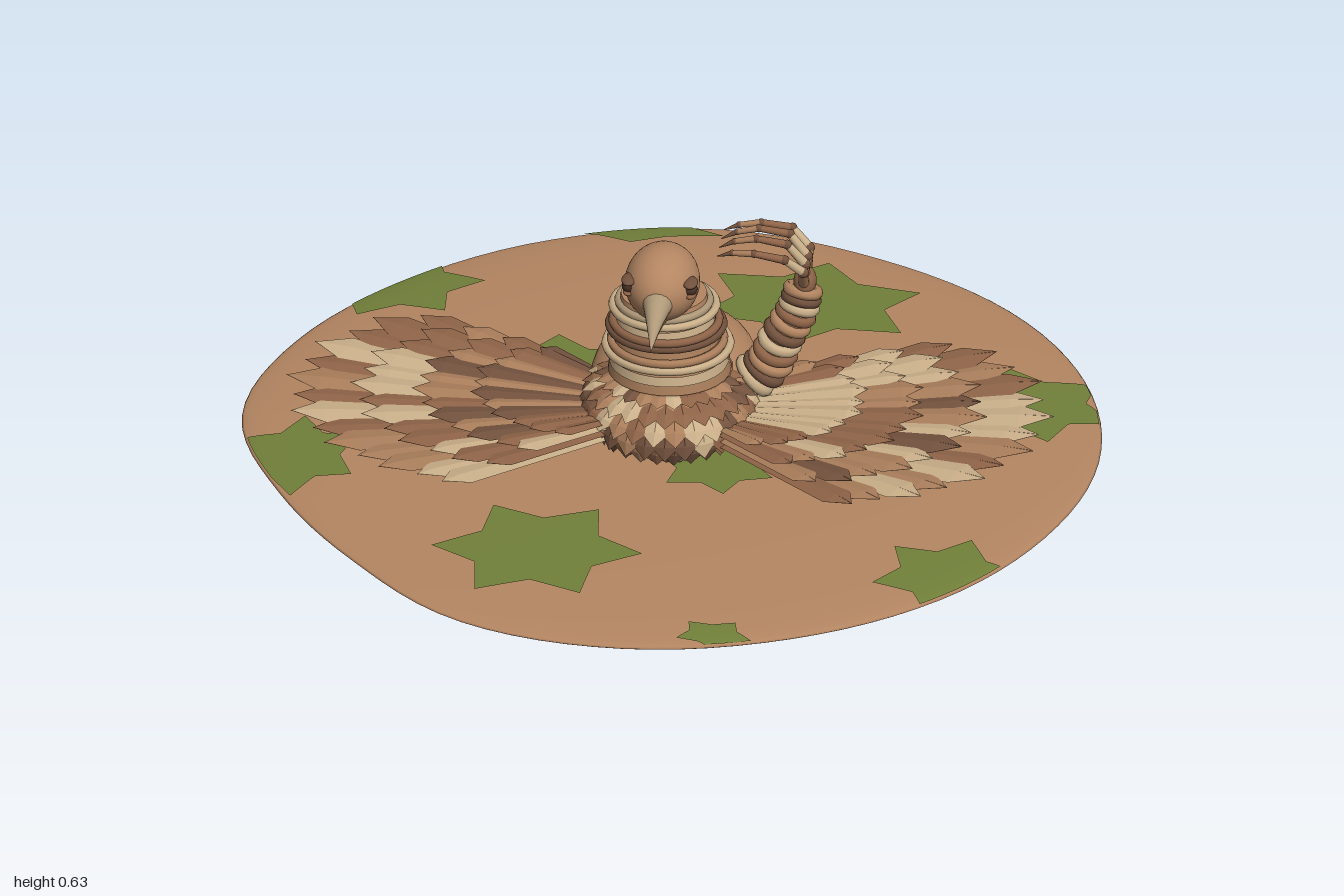
import * as THREE from 'three';

const V = (x, y, z) => new THREE.Vector3(x, y, z);
const mat = (name, color) => {
  const m = new THREE.MeshStandardMaterial({ color });
  m.name = name;
  return m;
};

// Lofted blade with a diamond section: stations are [y, halfWidth, halfThickness]
function bladeGeometry(stations) {
  const pos = [];
  const ring = ([y, w, h]) => [[-w, y, 0], [0, y, h], [w, y, 0], [0, y, -h]];
  for (let i = 0; i < stations.length - 1; i++) {
    const a = ring(stations[i]), b = ring(stations[i + 1]);
    for (let k = 0; k < 4; k++) {
      const n = (k + 1) % 4;
      pos.push(...a[k], ...a[n], ...b[n], ...a[k], ...b[n], ...b[k]);
    }
  }
  const g = new THREE.BufferGeometry();
  g.setAttribute('position', new THREE.Float32BufferAttribute(pos, 3));
  g.computeVertexNormals();
  return g;
}

// Mound rim: radius at equal angles from +x towards +z, smoothly joined
const MID = 0.033;
const RIM = [0.972, 0.965, 0.975, 0.985, 1, 0.99, 0.925, 0.925, 0.98, 0.97, 0.965, 0.985, 1, 0.975, 0.975, 0.973];
function rimRadius(x, z) {
  const n = RIM.length, u = (Math.atan2(z, x) / (2 * Math.PI) + 1) * n, i = Math.floor(u), t = u - i;
  const [a, b, c, d] = [-1, 0, 1, 2].map(k => RIM[(i + k) % n]);
  return b + 0.5 * t * (c - a + t * (2 * a - 5 * b + 4 * c - d + t * (3 * (b - c) + d - a)));
}

// Star-shaped grass patch draped over the mound: split finely, then lifted onto the dome
function patchGeometry(cx, cz, rx, rz, points, turn) {
  const corners = [];
  for (let i = 0; i < points * 2; i++) {
    const a = turn + i * Math.PI / points, r = i % 2 ? 0.64 : 1;
    corners.push(new THREE.Vector2(cx + rx * r * Math.cos(a), -cz - rz * r * Math.sin(a)));
  }
  const flat = new THREE.ShapeGeometry(new THREE.Shape(corners)).toNonIndexed();
  const p = flat.attributes.position, pos = [];
  const drape = v => {
    const R = rimRadius(v.x, -v.y), k = Math.min(1, 0.995 * R / v.length()), t = k * v.length() / R;
    pos.push(v.x * k, MID + 0.003 + MID * Math.sqrt(1 - t * t), -v.y * k);
  };
  const split = (a, b, c, n) => {
    if (!n) return [a, b, c].forEach(drape);
    const ab = a.clone().lerp(b, 0.5), bc = b.clone().lerp(c, 0.5), ca = c.clone().lerp(a, 0.5);
    [[a, ab, ca], [ab, b, bc], [ca, bc, c], [ab, bc, ca]].forEach(t => split(...t, n - 1));
  };
  for (let i = 0; i < p.count; i += 3) split(...[0, 1, 2].map(k => V(p.getX(i + k), p.getY(i + k), 0)), 4);
  const g = new THREE.BufferGeometry();
  g.setAttribute('position', new THREE.Float32BufferAttribute(pos, 3));
  g.computeVertexNormals();
  return g;
}

export function createModel() {
  const root = new THREE.Group();
  const skin = mat('warm brown', 0xb48662), grass = mat('grass green', 0x71803a);
  const cream = mat('cream', 0xcbb08a), tan = mat('tan', 0xab7f5c), brown = mat('mid brown', 0x8f6448);
  const dark = mat('dark brown', 0x73523e), horn = mat('horn', 0xae9878), pupil = mat('eye brown', 0x4a3226);
  const plumage = [cream, tan, dark, cream, brown, tan, brown];
  let seed = 7;
  const rnd = () => (seed = (seed * 16807) % 2147483647) / 2147483647;
  const pick = () => plumage[Math.floor(rnd() * plumage.length)];

  const group = (name, parent = root) => {
    const g = new THREE.Group();
    g.name = name;
    parent.add(g);
    return g;
  };
  const add = (parent, name, geo, material, p = V(0, 0, 0)) => {
    const m = new THREE.Mesh(geo, material);
    m.name = name;
    m.position.copy(p);
    parent.add(m);
    return m;
  };
  const ball = (parent, name, material, p, rx, ry, rz) =>
    add(parent, name, new THREE.SphereGeometry(1, 32, 22), material, p).scale.set(rx, ry, rz);
  const rod = (parent, name, a, b, r0, r1, material) => {
    const d = b.clone().sub(a);
    const m = add(parent, name, new THREE.CylinderGeometry(r1, r0, d.length(), 10), material, a.clone().lerp(b, 0.5));
    m.quaternion.setFromUnitVectors(V(0, 1, 0), d.normalize());
  };
  // Lays a blade at p, running along dir, with its ridge facing normal
  const feather = (parent, geo, p, dir, normal, width, len, material) => {
    const y = dir.clone().normalize(), x = y.clone().cross(normal).normalize(), z = x.clone().cross(y);
    const m = add(parent, 'feather', geo, material, p);
    m.quaternion.setFromRotationMatrix(new THREE.Matrix4().makeBasis(x, y, z));
    m.scale.set(width, len, 1);
  };

  // Mound and grass
  const mound = new THREE.SphereGeometry(1, 96, 32), mp = mound.attributes.position;
  for (let i = 0; i < mp.count; i++) {
    const x = mp.getX(i), z = mp.getZ(i), r = rimRadius(x, z);
    mp.setXYZ(i, x * r, MID + MID * mp.getY(i), z * r);
  }
  mound.computeVertexNormals();
  add(root, 'mound', mound, skin);
  const lawn = group('grassPatches');
  [
    [0.24, -0.63, 0.27, 0.21, 6, 0.6], [-0.2, -0.97, 0.22, 0.08, 5, 0.3], [-0.7, -0.64, 0.2, 0.17, 6, 0.9],
    [-0.28, -0.25, 0.2, 0.16, 6, 0.4], [0.78, -0.22, 0.22, 0.18, 6, 0.2], [-0.83, 0.2, 0.15, 0.18, 6, 0.5],
    [-0.24, 0.6, 0.24, 0.22, 6, 0], [0.7, 0.6, 0.18, 0.17, 6, 0.7], [0.2, 0.93, 0.09, 0.06, 5, 0.2], [0.12, 0.18, 0.14, 0.13, 6, 0.3],
  ].forEach(star => add(lawn, 'grassPatch', patchGeometry(...star), grass));

  // Body
  ball(root, 'body', skin, V(0, 0.175, -0.05), 0.19, 0.107, 0.288);

  // Breast feathers in overlapping rows
  const breast = group('breastFeathers');
  const scale = bladeGeometry([[0, 0.15, 0.004], [0.55, 0.5, 0.008], [1, 0, 0]]);
  const onChest = (lat, az) => V(0.18 * Math.cos(lat) * Math.sin(az), 0.165 + 0.095 * Math.sin(lat), 0.05 + 0.185 * Math.cos(lat) * Math.cos(az));
  for (let row = 0; row < 7; row++) {
    const lat = 1.0 - row * 0.27, n = 17;
    for (let i = 0; i < n; i++) {
      const az = ((i + (row % 2) / 2) / (n - 0.5) - 0.5) * 3.9;
      const p = onChest(lat, az), dir = onChest(lat - 0.3, az).sub(p).normalize();
      const side = V(Math.cos(az), 0, -Math.sin(az));
      const normal = dir.clone().cross(side).normalize();
      feather(breast, scale, p, dir.addScaledVector(normal, 0.22), normal, 0.062, 0.075, pick());
    }
  }

  // Wings: four stacked fans of feathers on each side
  const quill = bladeGeometry([[0, 0.12, 0.003], [0.9, 0.5, 0.006], [1, 0, 0.001]]);
  for (const s of [-1, 1]) {
    const wing = group(s > 0 ? 'leftWing' : 'rightWing');
    for (let layer = 0; layer < 4; layer++) {
      const n = 14 - layer, size = [1, 0.83, 0.67, 0.52][layer];
      for (let i = 0; i < n; i++) {
        const u = i / (n - 1), a = -0.5 + u * 1.27, start = 0.1;
        const reach = (0.69 + 0.19 * Math.sin(Math.PI * Math.pow(u, 0.85)) - 0.06 * u + 0.02 * (i % 2)) * size;
        const p0 = V(s * start * Math.cos(a), 0.118 + layer * 0.013, 0.05 + start * Math.sin(a));
        const p1 = V(s * reach * Math.cos(a), 0.164 + layer * 0.007 + 0.003 * (i % 2), 0.05 + reach * Math.sin(a));
        const d = p1.sub(p0);
        feather(wing, quill, p0, d, V(0, 1, 0), reach * 1.27 / (n - 1) * 1.25, d.length(), pick());
      }
    }
  }

  // Neck: stacked bands leaning forward, with raised rings
  const neck = group('neck');
  const neckZ = y => 0.03 + (y - 0.22) * 0.5, neckR = y => 0.145 - (y - 0.22) * 0.17;
  [skin, tan, cream, skin, brown, tan, skin, cream, tan, skin].forEach((m, i) => {
    const y = 0.22 + i * 0.028;
    add(neck, 'neckBand', new THREE.CylinderGeometry(neckR(y + 0.028), neckR(y), 0.029, 32), m, V(0, y + 0.014, neckZ(y + 0.014)));
  });
  [[0.328, cream, 0.02], [0.345, tan, 0.01], [0.397, dark, 0.02], [0.412, brown, 0.014], [0.465, cream, 0.02], [0.48, horn, 0.008]].forEach(([y, m, out]) => {
    const ring = add(neck, 'neckRing', new THREE.TorusGeometry(neckR(y) + out - 0.006, 0.01, 8, 36), m, V(0, y, neckZ(y)));
    ring.rotation.x = Math.PI / 2;
  });

  // Head, eyes and beak
  const head = group('head');
  ball(head, 'skull', skin, V(0, 0.545, 0.195), 0.085, 0.086, 0.11);
  for (const s of [-1, 1]) {
    ball(head, 'eye', pupil, V(s * 0.069, 0.56, 0.25), 0.017, 0.017, 0.017);
    ball(head, 'brow', dark, V(s * 0.07, 0.575, 0.25), 0.017, 0.009, 0.028);
    ball(head, 'lowerLid', brown, V(s * 0.07, 0.545, 0.248), 0.014, 0.008, 0.022);
  }
  const hook = (name, r, len, drop, m, p) => {
    const g = new THREE.ConeGeometry(r, len, 18, 10).rotateX(Math.PI / 2), q = g.attributes.position;
    for (let i = 0; i < q.count; i++) {
      const t = q.getZ(i) / len + 0.5;
      q.setY(i, q.getY(i) - drop * t * t);
    }
    g.computeVertexNormals();
    add(head, name, g, m, p);
  };
  hook('upperBeak', 0.043, 0.17, 0.055, horn, V(0, 0.54, 0.343));
  hook('lowerBeak', 0.028, 0.09, 0.03, brown, V(0, 0.495, 0.29));

  // Raised arm wrapped in rings
  const arm = group('raisedArm');
  const armPath = new THREE.CatmullRomCurve3([V(0.14, 0.17, -0.01), V(0.215, 0.24, 0.01), V(0.255, 0.34, 0.05), V(0.295, 0.43, 0.075), V(0.31, 0.495, 0.08)]);
  add(arm, 'armCore', new THREE.TubeGeometry(armPath, 24, 0.036, 14), tan);
  for (let i = 0; i < 11; i++) {
    const t = 0.15 + i * 0.079, r = 0.045 - t * 0.013;
    const ring = add(arm, 'armRing', new THREE.TorusGeometry(r, 0.014, 8, 24), [cream, dark, skin, brown][i % 4], armPath.getPoint(t));
    ring.quaternion.setFromUnitVectors(V(0, 0, 1), armPath.getTangent(t).add(V(0, 0, -0.25)).normalize());
  }

  // Hand: four jointed fingers curling inward, each with a claw
  const hand = group('hand', arm);
  ball(hand, 'palm', brown, V(0.312, 0.505, 0.082), 0.026, 0.035, 0.038);
  for (let f = 0; f < 4; f++) {
    const k = f - 1.5, bend = f === 1 || f === 2 ? 0.012 : 0;
    const joints = [V(0.312, 0.505, 0.082 + k * 0.014), V(0.315, 0.56, 0.085 + k * 0.04), V(0.275, 0.6 + bend, 0.087 + k * 0.052),
      V(0.205, 0.612 + bend, 0.09 + k * 0.05), V(0.155, 0.607 + bend / 2, 0.09 + k * 0.045), V(0.12, 0.594, 0.09 + k * 0.042)];
    [tan, cream, brown, tan, dark].forEach((m, j) => {
      const r = 0.013 - j * 0.0016;
      rod(hand, j === 4 ? 'claw' : 'fingerBone', joints[j], joints[j + 1], r, j === 4 ? 0.001 : r * 0.8, m);
      if (j) add(hand, 'knuckle', new THREE.SphereGeometry(r * 1.15, 10, 8), dark, joints[j]);
    });
  }
  return root;
}
